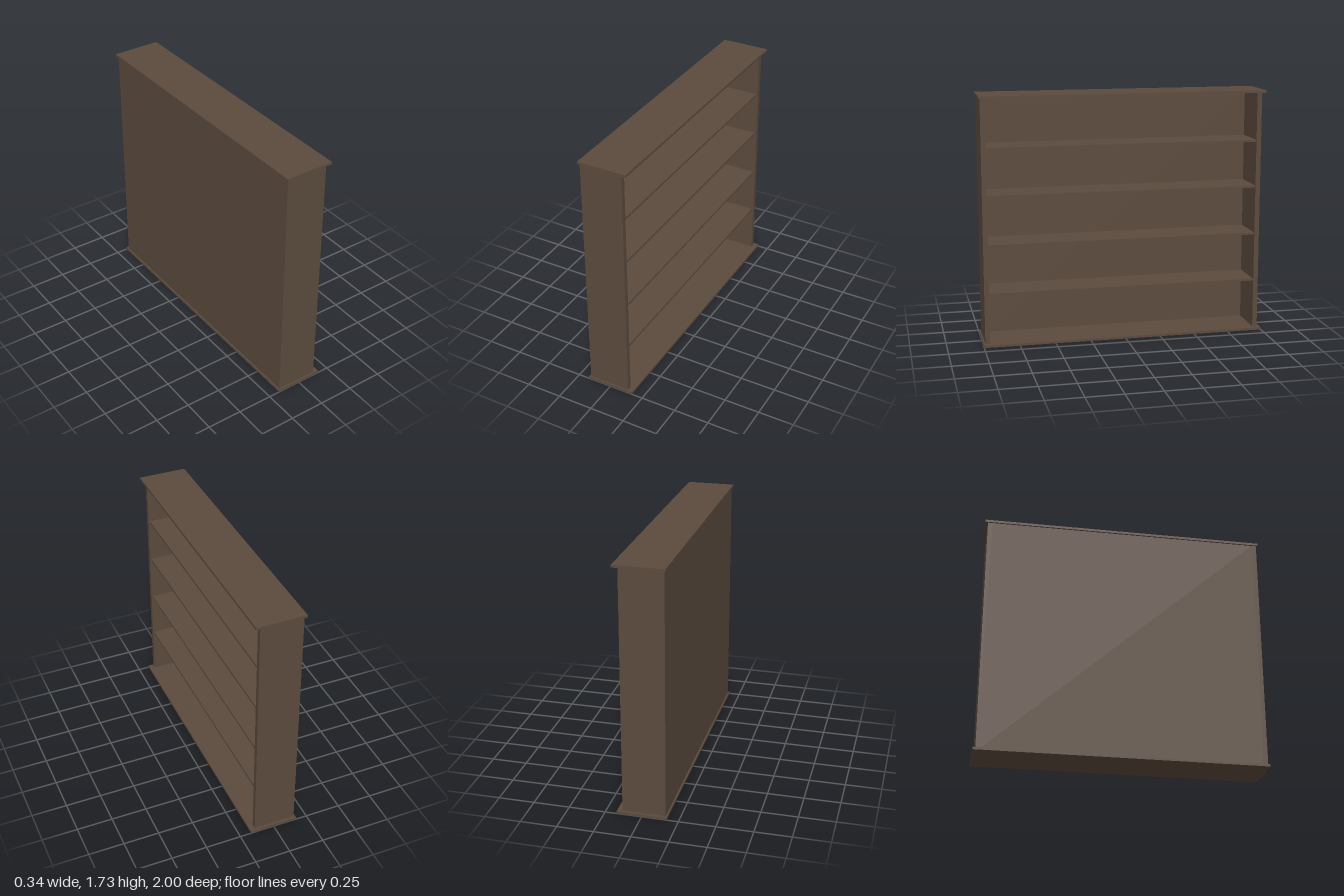
import * as THREE from 'three';

// Wide, shallow bookcase: open towards +x, closed by a panel at -x.
export function createModel() {
  const model = new THREE.Group();
  model.name = 'bookcase';
  const wood = new THREE.MeshStandardMaterial({ color: 0x5c4b3e });

  // Board given by its extents on each axis
  function board(name, [x0, x1], [y0, y1], [z0, z1]) {
    const mesh = new THREE.Mesh(new THREE.BoxGeometry(x1 - x0, y1 - y0, z1 - z0), wood);
    mesh.position.set((x0 + x1) / 2, (y0 + y1) / 2, (z0 + z1) / 2);
    mesh.name = name;
    model.add(mesh);
  }

  const height = 1.732, slab = 0.017;
  const back = -0.16, front = 0.135, panel = 0.015;
  const inner = [-0.947, 0.956];
  const between = [slab, height - slab];

  // Overhanging base and top
  board('base', [-0.171, 0.171], [0, slab], [-1, 1]);
  board('top', [-0.171, 0.171], [height - slab, height], [-1, 1]);

  // Upright sides
  board('sideNear', [back, front], between, [inner[1], 0.989]);
  board('sideFar', [back, front], between, [-0.981, inner[0]]);

  // Back panel, set between the sides
  board('backPanel', [back, back + panel], between, inner);

  // Shelves, slightly recessed from the front edge
  [0.372, 0.713, 1.054, 1.381].forEach((y, i) => {
    board(`shelf${i + 1}`, [back + panel, front - 0.01], [y - 0.015, y], inner);
  });

  return model;
}
